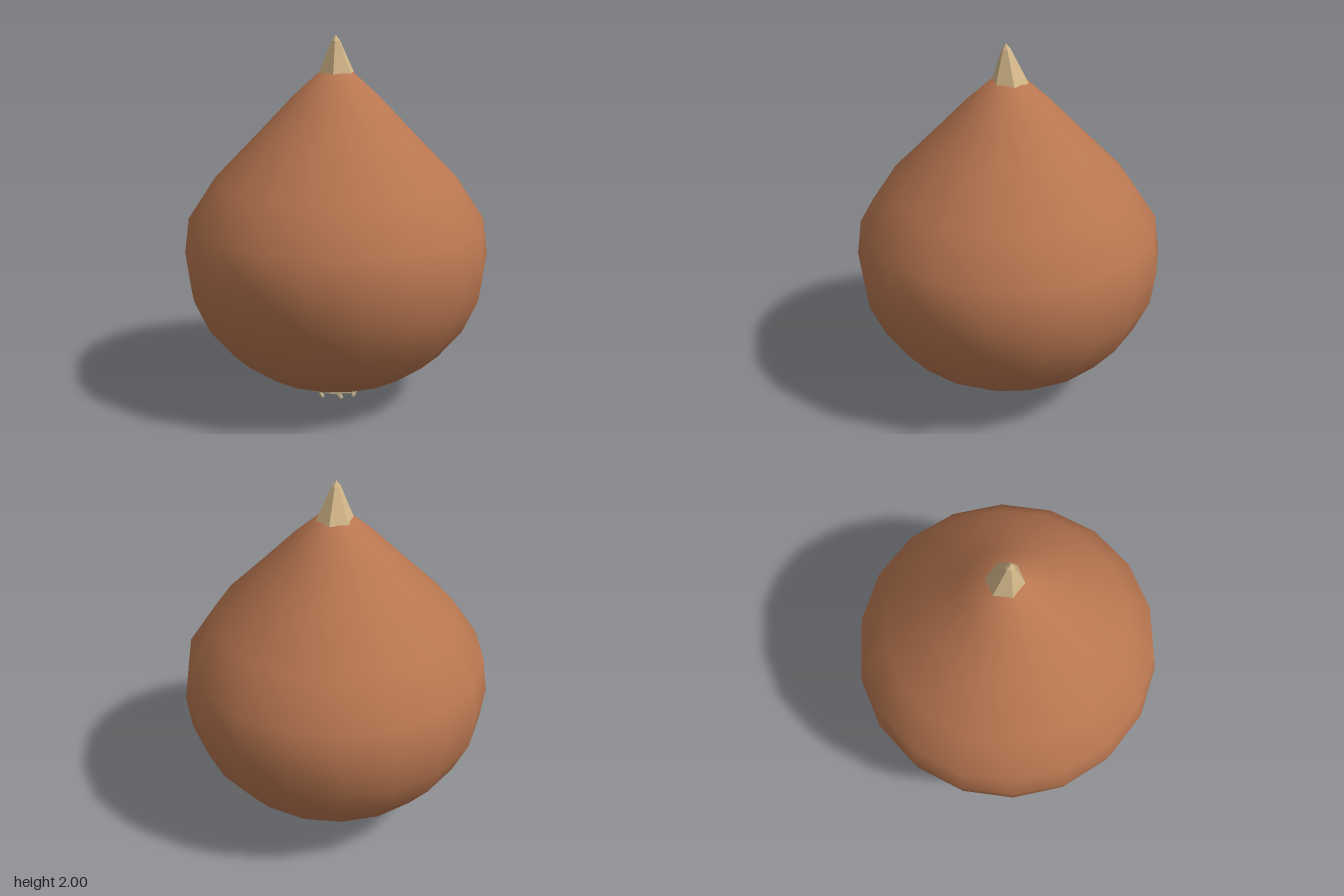
import * as THREE from 'three';

const skin = new THREE.MeshStandardMaterial({ color: 0xb87650 });
skin.name = 'brown skin';
const stalk = new THREE.MeshStandardMaterial({ color: 0xd2b688, flatShading: true });
stalk.name = 'straw stalk';
const rootTan = new THREE.MeshStandardMaterial({ color: 0xbfae8c, flatShading: true });
rootTan.name = 'dry root';

function add(parent, name, geometry, material) {
  const mesh = new THREE.Mesh(geometry, material);
  mesh.name = name;
  parent.add(mesh);
  return mesh;
}

const profile = (pairs) => pairs.map(([r, y]) => new THREE.Vector2(r, y));

export function createModel() {
  const model = new THREE.Group();
  model.name = 'onion';

  // Bulb: rounded below, tapering to a neck
  const bulb = profile([
    [0, 0.078], [0.2, 0.08], [0.415, 0.16], [0.587, 0.28], [0.717, 0.435], [0.802, 0.62], [0.828, 0.81],
    [0.802, 1.005], [0.652, 1.235], [0.415, 1.48], [0.23, 1.675], [0.095, 1.8], [0, 1.82],
  ]);
  add(model, 'bulb', new THREE.LatheGeometry(bulb, 18), skin);

  // Stalk: six-sided dry tip, leaning slightly forward
  const tip = new THREE.LatheGeometry(
    profile([[0, 1.795], [0.1, 1.797], [0.024, 1.97], [0, 2]]), 6);
  const p = tip.attributes.position;
  for (let i = 0; i < p.count; i++) {
    p.setZ(i, p.getZ(i) - 0.01 + (p.getY(i) - 1.795) * 0.12);
  }
  tip.computeVertexNormals();
  add(model, 'stalkTip', tip, stalk);

  // Root plate under the bulb
  const plate = new THREE.CylinderGeometry(0.2, 0.2, 0.022, 12);
  add(model, 'rootPlate', plate, rootTan).position.y = 0.07;

  // Short rootlets in a ring, leaning along the ring in alternating amounts
  const roots = new THREE.Group();
  roots.name = 'rootlets';
  model.add(roots);
  const leans = [0.7, -0.6, 0.75, 0.5, -0.7, 0.65, -0.5, 0.7];
  leans.forEach((lean, i) => {
    const pivot = new THREE.Group();
    pivot.rotation.y = (i / leans.length) * Math.PI * 2 + 0.25;
    roots.add(pivot);
    const root = add(pivot, 'rootlet', new THREE.CapsuleGeometry(0.012, 0.055, 2, 6), rootTan);
    root.position.set(0, 0.036, 0.138);
    root.rotation.z = lean;
  });

  return model;
}
